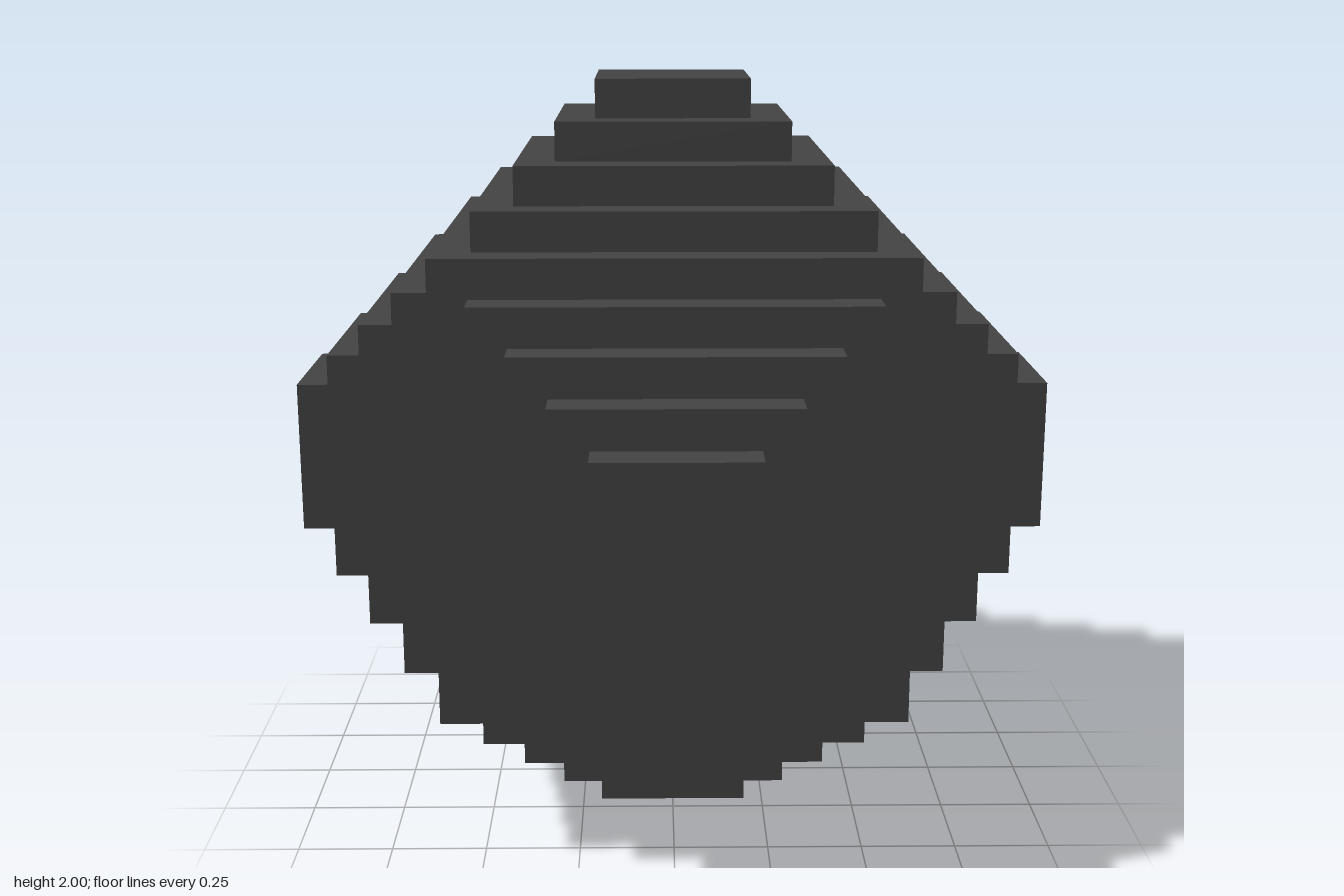
import * as THREE from 'three';

const charcoal = new THREE.MeshStandardMaterial({ color: 0x444444 });
charcoal.name = 'charcoal';

const CORE = 1.2; // edge length of the central cube
const STEP = 0.1; // height and inset of each tier
const TIERS = 4;

// Stepped pyramid rising along +y from the face of the core
function steppedPyramid(name) {
  const pyramid = new THREE.Group();
  pyramid.name = name;
  for (let i = 1; i <= TIERS; i++) {
    const width = CORE - 2 * STEP * i;
    const tier = new THREE.Mesh(new THREE.BoxGeometry(width, STEP, width), charcoal);
    tier.name = `tier${i}`;
    tier.position.y = CORE / 2 + STEP * (i - 0.5);
    pyramid.add(tier);
  }
  return pyramid;
}

export function createModel() {
  const model = new THREE.Group();
  model.name = 'steppedCube';

  const core = new THREE.Mesh(new THREE.BoxGeometry(CORE, CORE, CORE), charcoal);
  core.name = 'core';
  core.position.y = 1;
  model.add(core);

  // One pyramid on each of the six faces
  const q = Math.PI / 2;
  const faces = [
    ['topSteps', 0, 0],
    ['bottomSteps', Math.PI, 0],
    ['frontSteps', q, 0],
    ['backSteps', -q, 0],
    ['leftSteps', 0, -q],
    ['rightSteps', 0, q],
  ];
  for (const [name, rx, rz] of faces) {
    const steps = steppedPyramid(name);
    steps.rotation.set(rx, 0, rz);
    steps.position.y = 1;
    model.add(steps);
  }
  return model;
}
